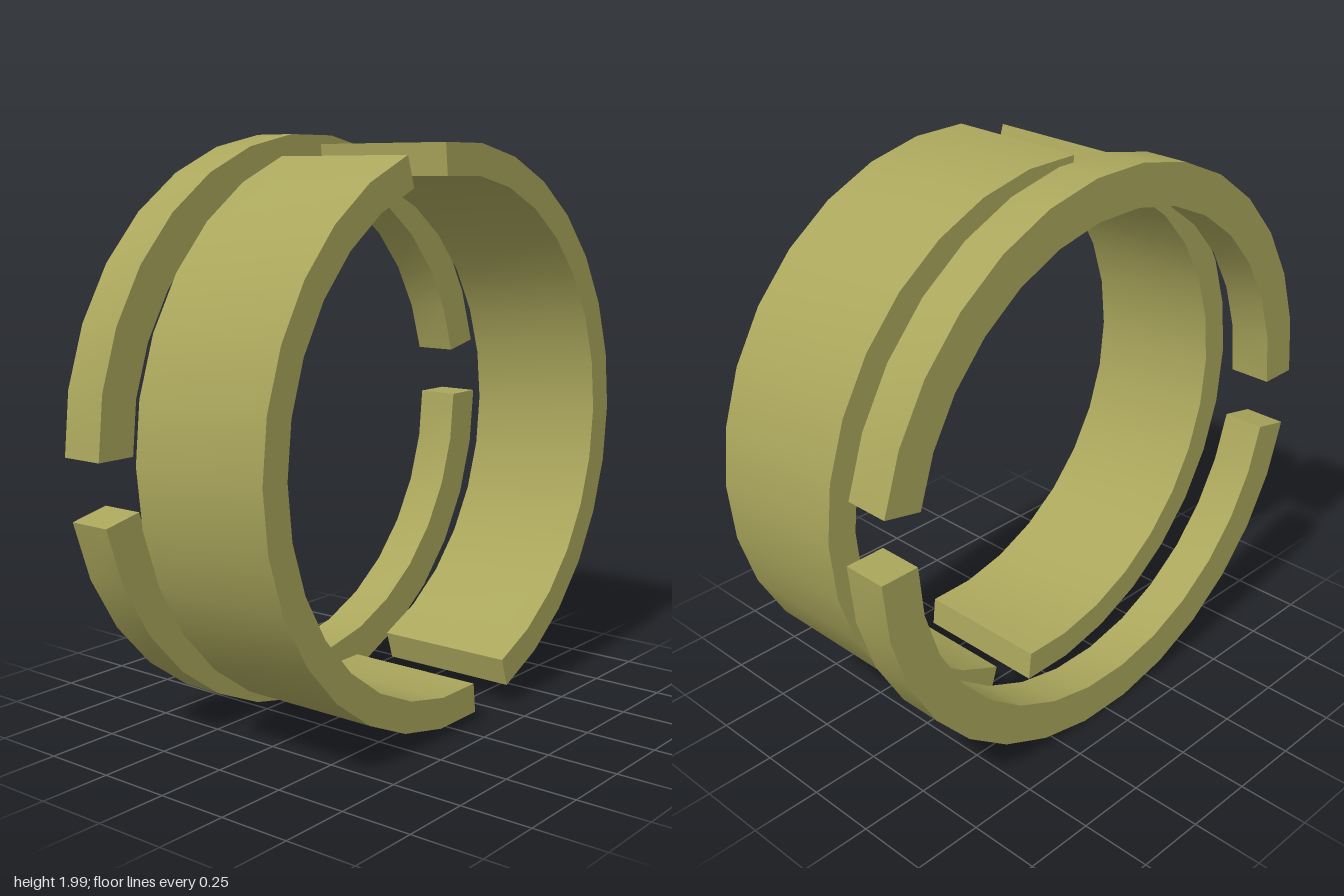
import * as THREE from 'three';
import { toCreasedNormals } from 'three/addons/utils/BufferGeometryUtils.js';

const STEP = Math.PI / 15; // 30 facets per full turn
const ARC_STEPS = 14;      // each half spans 168 degrees, leaving a one-facet gap
const INNER = 0.86;
const CENTRE_Y = 0.9945;

// Half ring around the x axis; facets count from the front (+z) up over the top
function halfRing(name, outer, x0, x1, firstFacet, material) {
  const points = [];
  const add = (r, i) => points.push(
    new THREE.Vector2(r * Math.cos(i * STEP), r * Math.sin(i * STEP)));
  for (let i = 0; i <= ARC_STEPS; i++) add(outer, firstFacet + i);
  for (let i = ARC_STEPS; i >= 0; i--) add(INNER, firstFacet + i);

  const extruded = new THREE.ExtrudeGeometry(new THREE.Shape(points), {
    depth: x1 - x0, bevelEnabled: false,
  });
  extruded.rotateY(-Math.PI / 2); // profile into the zy plane, depth towards -x
  extruded.translate(x1, CENTRE_Y, 0);

  const mesh = new THREE.Mesh(toCreasedNormals(extruded, Math.PI / 6), material);
  mesh.name = name;
  return mesh;
}

export function createModel() {
  const model = new THREE.Group();
  model.name = 'splitRings';
  const olive = new THREE.MeshStandardMaterial({ color: 0xaaa65c });

  // Narrow ring, split at front and back
  const narrowRing = new THREE.Group();
  narrowRing.name = 'narrowRing';
  narrowRing.add(
    halfRing('narrowUpperHalf', 1, -0.394, -0.24, 0, olive),
    halfRing('narrowLowerHalf', 1, -0.394, -0.24, 15, olive));

  // Wide ring, split near top and bottom
  const wideRing = new THREE.Group();
  wideRing.name = 'wideRing';
  wideRing.add(
    halfRing('wideBackHalf', 0.965, -0.115, 0.394, 7, olive),
    halfRing('wideFrontHalf', 0.965, -0.115, 0.394, 22, olive));

  model.add(narrowRing, wideRing);
  return model;
}
